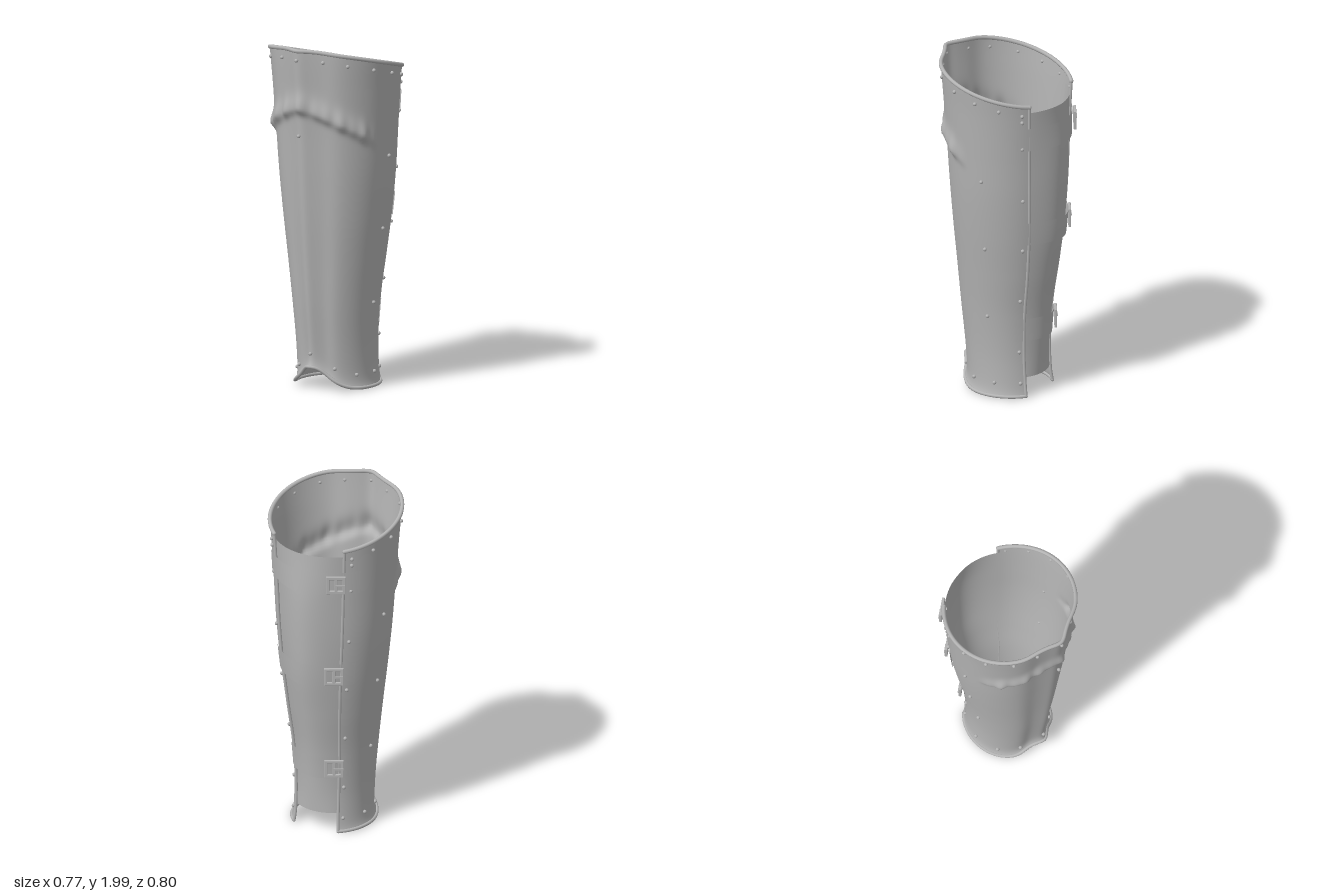
import * as THREE from 'three';

const steel = new THREE.MeshStandardMaterial({ color: 0xb4b4b4, side: THREE.DoubleSide });
steel.name = 'steel';

const EDGE = 2.46; // half angle of the front shell, measured from +z
const { smoothstep, degToRad } = THREE.MathUtils;
const gauss = (d, w) => Math.exp(-((d / w) ** 2));

// Leg profile sampled every 0.25 in height, smoothly interpolated
const HALF_WIDTH = [0.222, 0.222, 0.24, 0.27, 0.302, 0.328, 0.345, 0.362, 0.383];
const FRONT_Z = [0.225, 0.248, 0.275, 0.297, 0.318, 0.336, 0.352, 0.372, 0.388];
const EDGE_Z = [-0.215, -0.205, -0.215, -0.245, -0.268, -0.28, -0.285, -0.292, -0.302];
const BACK_Z = [-0.25, -0.258, -0.28, -0.32, -0.36, -0.378, -0.383, -0.37, -0.36];
function sample(table, y) {
  const t = Math.min(Math.max(y / 0.25, 0), 8);
  const i = Math.min(Math.floor(t), 7), f = t - i;
  const at = k => table[Math.min(Math.max(k, 0), 8)];
  const [p0, p1, p2, p3] = [at(i - 1), at(i), at(i + 1), at(i + 2)];
  return p1 + 0.5 * f * (p2 - p0 + f * (2 * p0 - 5 * p1 + 4 * p2 - p3 + f * (3 * (p1 - p2) + p3 - p0)));
}

const topY = a => 1.985 - 0.0924 * (1 - Math.cos(a));
const bottomY = a => 0.012 + 0.128 * gauss(a, 0.58);

// Ellipse of the leg at height y
function section(y) {
  const keel = 0.012 + 0.004 * y;
  const front = sample(FRONT_Z, y) - keel, edge = sample(EDGE_Z, y);
  const rz = (front - edge) / (1 - Math.cos(EDGE));
  return { rx: sample(HALF_WIDTH, y), rz, cz: front - rz, keel };
}

// Front shell: keel down the shin, wavy fold below the knee, flared lower lip
function shellPoint(a, y, offset = 0) {
  const s = section(y), b = Math.abs(a);
  const d = y - (1.65 - 0.15 * b ** 1.2);
  const fold = 0.023 * (1 - smoothstep(b, 1.0, 1.4)) * (1 + 0.22 * Math.sin(19 * a + 1) + 0.15 * Math.sin(31 * a))
    * gauss(d, d > 0 ? 0.07 : 0.03);
  const lip = 0.022 * Math.exp(-Math.max(0, y - bottomY(a)) / 0.03) * (1 - 0.25 * b);
  const out = offset + s.keel * gauss(a, 0.13) - 0.013 * gauss(b - 0.36, 0.2) + fold + lip;
  return new THREE.Vector3(Math.sin(a) * (s.rx + out), y, s.cz + Math.cos(a) * (s.rz + out));
}

// Calf side: tucked under the shell edges, bulging to the back profile
function backPoint(a, y, scale, offset) {
  const s = section(y);
  const blend = smoothstep(Math.PI - Math.abs(Math.PI - a), EDGE - 0.05, Math.PI);
  const deep = s.cz - sample(BACK_Z, y) + offset;
  const rz = s.rz * scale * (1 - blend) + deep * blend;
  return new THREE.Vector3(Math.sin(a) * s.rx * scale, y, s.cz + Math.cos(a) * rz);
}

// Smooth grid surface from a rule over u, v in 0..1
function surface(nu, nv, rule) {
  const pos = [], index = [];
  for (let j = 0; j <= nv; j++)
    for (let i = 0; i <= nu; i++) pos.push(...rule(i / nu, j / nv).toArray());
  for (let j = 0; j < nv; j++)
    for (let i = 0; i < nu; i++) {
      const p = j * (nu + 1) + i, q = p + nu + 1;
      index.push(p, p + 1, q + 1, p, q + 1, q);
    }
  const g = new THREE.BufferGeometry();
  g.setAttribute('position', new THREE.Float32BufferAttribute(pos, 3));
  g.setIndex(index);
  g.computeVertexNormals();
  return g;
}

export function createModel() {
  const group = new THREE.Group();
  const add = (name, geometry, parent = group) => {
    const mesh = new THREE.Mesh(geometry, steel);
    mesh.name = name;
    parent.add(mesh);
    return mesh;
  };

  // Plates
  add('frontShell', surface(128, 130, (u, v) => {
    const a = (u * 2 - 1) * EDGE;
    return shellPoint(a, bottomY(a) + v * (topY(a) - bottomY(a)));
  }));
  const from = degToRad(128);
  add('calfPlate', surface(48, 48, (u, v) =>
    backPoint(from + u * 2 * (Math.PI - from), 0.12 + 1.66 * v, 0.97, 0)));

  // Rolled rims around every edge of the shell
  const rim = (name, n, radius, rule) => {
    const points = Array.from({ length: n + 1 }, (_, i) => rule(i / n));
    add(name, new THREE.TubeGeometry(new THREE.CatmullRomCurve3(points), n * 2, radius, 8));
    for (const p of [points[0], points[n]])
      add(name + 'End', new THREE.SphereGeometry(radius, 8, 6)).position.copy(p);
  };
  const sweep = u => (u * 2 - 1) * EDGE;
  rim('topRim', 64, 0.012, u => shellPoint(sweep(u), topY(sweep(u))));
  rim('bottomRim', 64, 0.01, u => shellPoint(sweep(u), bottomY(sweep(u))));
  for (const side of [-1, 1])
    rim('sideRim', 30, 0.009, u =>
      shellPoint(side * EDGE, bottomY(EDGE) + u * (topY(EDGE) - bottomY(EDGE))));

  // Straps with buckles on the right seam
  const frame = new THREE.Shape();
  frame.moveTo(-0.052, -0.05).lineTo(0.052, -0.05).lineTo(0.052, 0.05).lineTo(-0.052, 0.05).closePath();
  for (const x of [-0.04, 0.006]) {
    const hole = new THREE.Path();
    hole.moveTo(x, -0.037).lineTo(x, 0.037).lineTo(x + 0.034, 0.037).lineTo(x + 0.034, -0.037).closePath();
    frame.holes.push(hole);
  }
  const buckleGeometry = new THREE.ExtrudeGeometry(frame, {
    depth: 0.01, bevelEnabled: true, bevelSize: 0.003, bevelThickness: 0.003, bevelSegments: 2,
  });
  const start = degToRad(129), end = degToRad(234), buckleAngle = degToRad(212);
  for (const y of [1.62, 1.03, 0.415]) {
    add('strap', surface(48, 4, (u, v) =>
      backPoint(start + u * (end - start), y + (v - 0.5) * 0.138, 1.022, 0.016)));
    const buckle = new THREE.Group();
    buckle.name = 'buckle';
    buckle.position.copy(backPoint(buckleAngle, y, 1.022, 0.016));
    buckle.position.x += Math.sin(buckleAngle) * 0.012;
    buckle.position.z += Math.cos(buckleAngle) * 0.012;
    buckle.rotation.y = buckleAngle;
    add('buckleFrame', buckleGeometry, buckle);
    add('bucklePin', new THREE.BoxGeometry(0.055, 0.01, 0.008), buckle).position.set(0.025, 0, 0.014);
    group.add(buckle);
  }

  // Rivets: [angle, height], mirrored to both sides
  const rivetGeometry = new THREE.SphereGeometry(0.011, 10, 8);
  const rivet = (a, y, offset = 0.005) =>
    add('rivet', rivetGeometry).position.copy(shellPoint(a, y, offset));
  rivet(0, 1.93);
  rivet(0, 1.49, 0.016);
  rivet(0, 0.215);
  const spots = [
    ...[0.39, 0.77, 1.2, 1.6, 1.98].map(a => [a, topY(a) - 0.055]),
    ...[1.77, 1.73, 1.565, 1.24, 0.925, 0.6, 0.28, 0.09].map(y => [2.34, y]),
    ...[1.35, 0.925, 0.495].map(y => [1.64, y]),
    [0.58, 0.13], [1.12, 0.09], [1.72, 0.09],
  ];
  for (const side of [-1, 1])
    for (const [a, y] of spots) rivet(side * a, y);

  return group;
}
